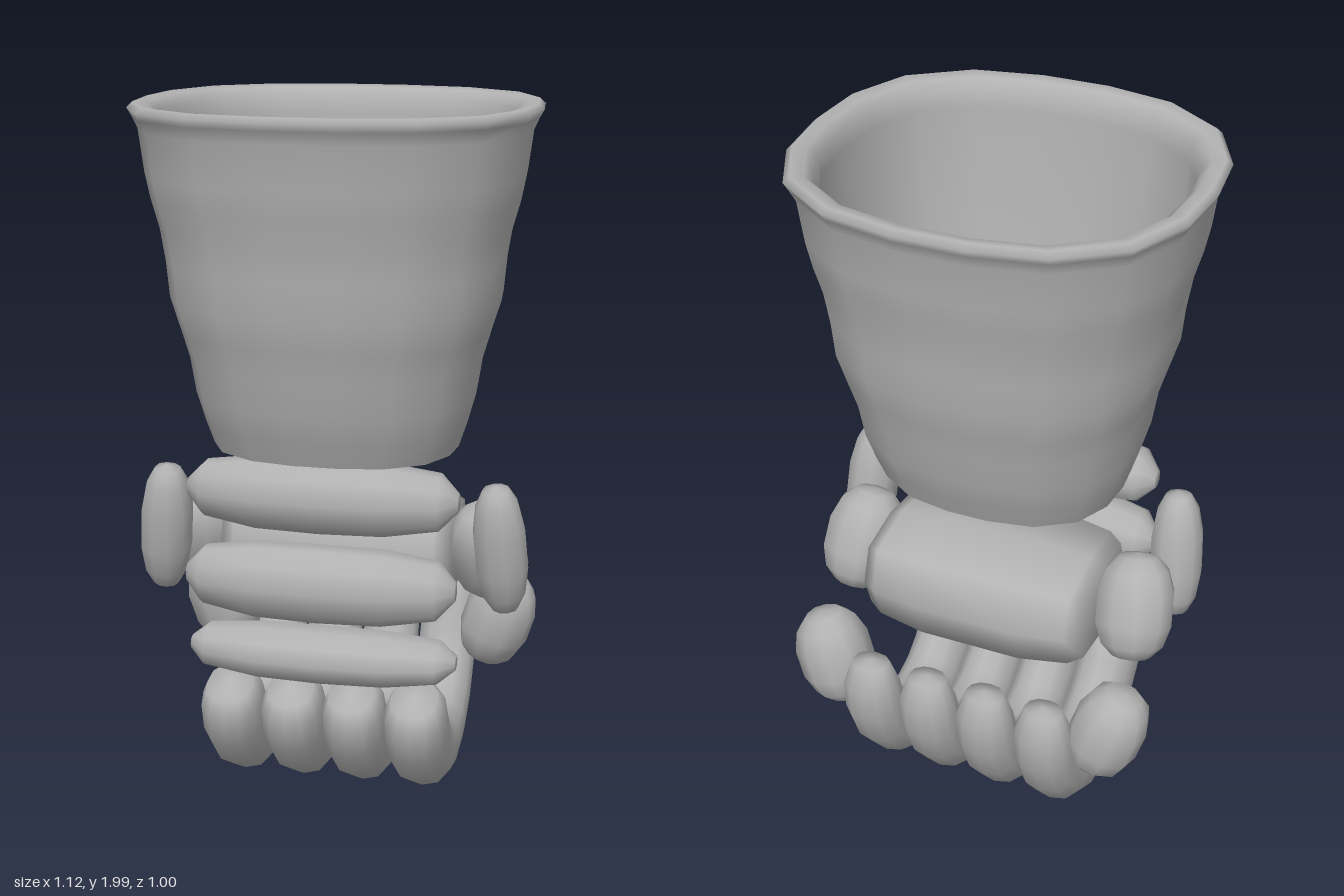
import * as THREE from 'three';

const steel = new THREE.MeshStandardMaterial({ color: 0xb2b2b2 });
steel.name = 'steel grey';

const V = (x, y, z) => new THREE.Vector3(x, y, z);

// Smooth skin over equal-length rings, with optional centre points closing the ends
function loft(rings, start, end) {
  const n = rings[0].length;
  const points = rings.flat();
  const index = [];
  for (let i = 0; i < rings.length - 1; i++) {
    for (let j = 0; j < n; j++) {
      const k = (j + 1) % n;
      const a = i * n + j, b = i * n + k, c = a + n, d = b + n;
      index.push(a, c, b, b, c, d);
    }
  }
  const cap = (centre, base, flip) => {
    const m = points.push(centre) - 1;
    for (let j = 0; j < n; j++) {
      const a = base + j, b = base + (j + 1) % n;
      index.push(...(flip ? [m, a, b] : [a, m, b]));
    }
  };
  if (start) cap(start, 0, true);
  if (end) cap(end, (rings.length - 1) * n, false);
  const geometry = new THREE.BufferGeometry().setFromPoints(points);
  geometry.setIndex(index);
  geometry.computeVertexNormals();
  return geometry;
}

// Ring of n points around a function of (cos, sin), slightly squared by k
function ring(n, k, place) {
  return Array.from({ length: n }, (_, j) => {
    const a = (j / n) * Math.PI * 2;
    const s = 1 + k * Math.sin(2 * a) ** 2;
    return place(Math.cos(a) * s, Math.sin(a) * s);
  });
}

function add(parent, name, geometry) {
  const mesh = new THREE.Mesh(geometry, steel);
  mesh.name = name;
  parent.add(mesh);
  return mesh;
}

// Bar along x: rows of [x, scale], bent backwards towards its ends
function bar(rows, cy, cz, ry, rz, bend, sides, k) {
  const back = x => cz - bend * (x / 0.38) ** 2;
  const rings = rows.map(([x, s]) =>
    ring(sides, k, (c, w) => V(x, cy + w * ry * s, back(x) + c * rz * s)));
  const x0 = rows[0][0], x1 = rows[rows.length - 1][0];
  return loft(rings, V(x0, cy, back(x0)), V(x1, cy, back(x1)));
}

// Rounded low-poly pad
function pad(rx, ry, rz) {
  const rows = [[-0.94, 0.5], [-0.7, 0.82], [-0.3, 1], [0.3, 1], [0.7, 0.82], [0.94, 0.5]];
  const rings = rows.map(([y, s]) => ring(10, 0.06, (c, w) => V(c * rx * s, y * ry, w * rz * s)));
  return loft(rings, V(0, -ry, 0), V(0, ry, 0));
}

// Curled finger: rows of [z, y, half width, half thickness]
function finger(x) {
  const rows = [
    [0.225, 0.372, 0.066, 0.075], [0.205, 0.33, 0.086, 0.108], [0.175, 0.26, 0.089, 0.12],
    [0.11, 0.185, 0.089, 0.115], [0.03, 0.137, 0.089, 0.112], [-0.06, 0.118, 0.089, 0.108],
    [-0.17, 0.13, 0.089, 0.1], [-0.26, 0.185, 0.089, 0.095], [-0.335, 0.27, 0.088, 0.085],
    [-0.375, 0.36, 0.086, 0.08], [-0.392, 0.45, 0.08, 0.07], [-0.39, 0.52, 0.055, 0.045],
  ];
  const rings = rows.map(([z, y, w, t], i) => {
    const p = rows[Math.max(i - 1, 0)], q = rows[Math.min(i + 1, rows.length - 1)];
    const dir = V(0, q[1] - p[1], q[0] - p[0]).normalize();
    const across = V(1, 0, 0).cross(dir);
    return ring(12, 0.05, (c, s) => V(x + c * w, y, z).addScaledVector(across, s * t));
  });
  return loft(rings, V(x, 0.38, 0.23), V(x, 0.53, -0.39));
}

export function createModel() {
  const model = new THREE.Group();
  model.name = 'gauntlet';

  // Flared, rippled cuff with a rolled rim and hollow inside: [y, half x, half z]
  const profile = [
    [1.05, 0.345, 0.29], [1.12, 0.368, 0.318], [1.2, 0.39, 0.348], [1.3, 0.405, 0.365],
    [1.38, 0.428, 0.388], [1.47, 0.455, 0.41], [1.57, 0.464, 0.416], [1.66, 0.478, 0.427],
    [1.74, 0.5, 0.445], [1.81, 0.514, 0.458], [1.93, 0.529, 0.471], [1.965, 0.545, 0.49],
    [1.985, 0.556, 0.501], [2.0, 0.54, 0.487], [1.995, 0.505, 0.453], [1.97, 0.48, 0.428],
    [1.92, 0.472, 0.42], [1.8, 0.465, 0.412], [1.6, 0.435, 0.385], [1.4, 0.4, 0.355],
    [1.25, 0.365, 0.325], [1.13, 0.3, 0.26], [1.09, 0.17, 0.15],
  ];
  const rings = profile.map(([y, rx, rz]) => ring(18, 0.08, (c, s) => V(c * rx, y, s * rz)));
  add(model, 'cuff', loft(rings, null, V(0, 1.08, 0)));
  // Flat underside of the cuff
  const lower = ring(18, 0.08, (c, s) => V(c * 0.345, 1.05, s * 0.29));
  add(model, 'cuffBase', loft([lower], V(0, 1.05, 0), null));

  // Three bands across the back of the hand
  const bandRows = [[-0.38, 0.25], [-0.33, 0.76], [-0.18, 0.97], [0, 1], [0.18, 0.97], [0.33, 0.76], [0.38, 0.25]];
  for (const [name, y, z, ry, rz] of [
    ['upperBand', 0.95, 0.225, 0.103, 0.103],
    ['middleBand', 0.705, 0.255, 0.108, 0.103],
    ['lowerBand', 0.483, 0.225, 0.078, 0.103],
  ]) add(model, name, bar(bandRows, y, z, ry, rz, 0.02, 10, 0.05));

  // Palm block
  const palmRows = [[-0.33, 0.78], [-0.29, 0.9], [-0.15, 1], [0.15, 1], [0.29, 0.9], [0.33, 0.78]];
  add(model, 'palm', bar(palmRows, 0.717, -0.1, 0.156, 0.235, 0, 8, 0.14));

  // Mirrored pads: front side, thumb base and thumb tip
  for (const side of [-1, 1]) {
    const end = side > 0 ? 'Left' : 'Right';
    for (const [name, size, at, rx, rz] of [
      ['sidePad', [0.073, 0.195, 0.078], [0.483, 0.79, 0.1], 0.16, 0.08],
      ['thumbBase', [0.11, 0.155, 0.105], [0.425, 0.718, -0.09], 0.4, 0.1],
      ['thumbTip', [0.105, 0.147, 0.105], [0.43, 0.43, -0.303], 0.08, -0.3],
    ]) {
      const mesh = add(model, name + end, pad(...size));
      mesh.position.set(at[0] * side, at[1], at[2]);
      mesh.rotation.set(rx, 0, rz * side);
    }
  }

  // Four curled fingers
  for (let i = 0; i < 4; i++) add(model, 'finger' + (i + 1), finger((i - 1.5) * 0.178));

  return model;
}
